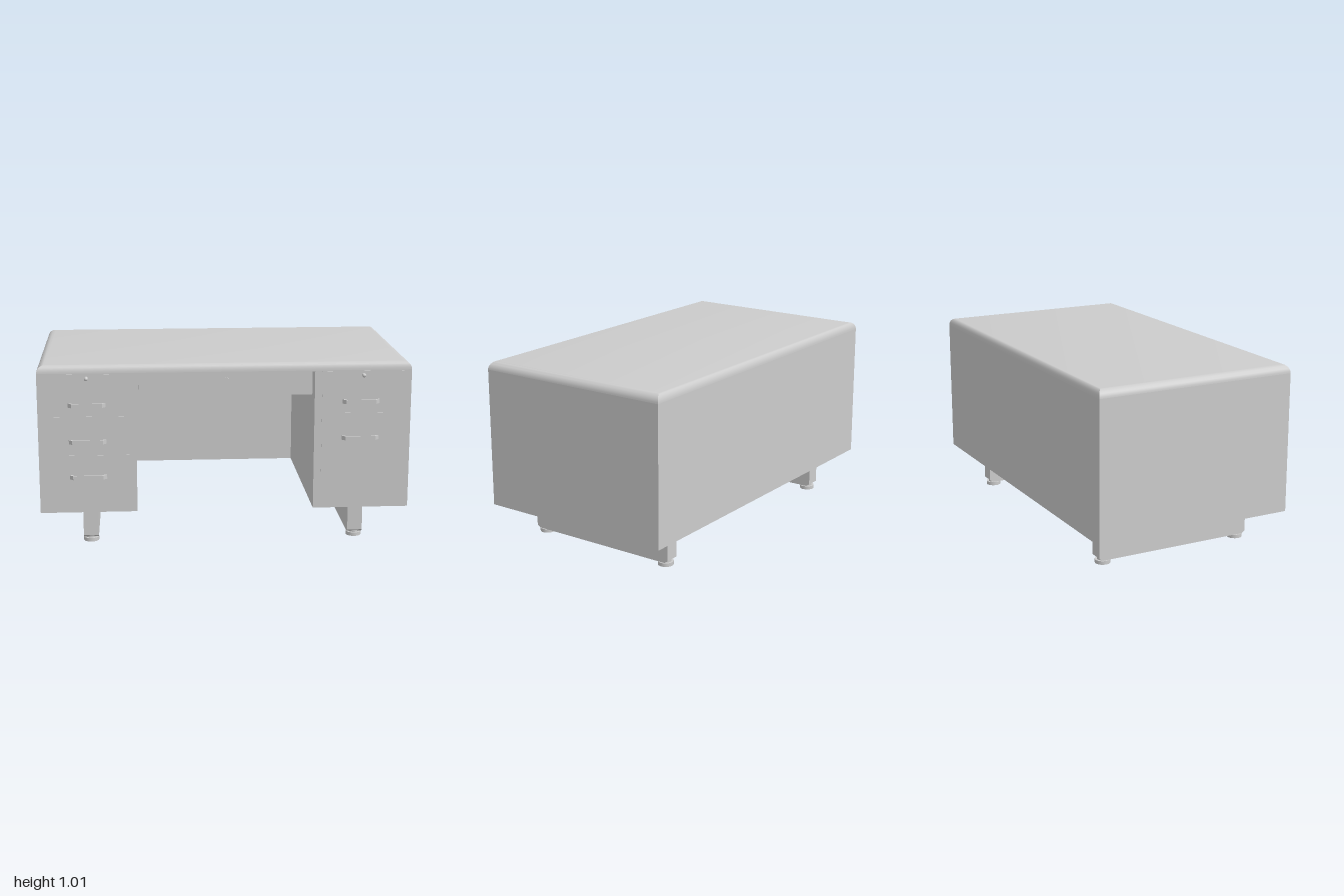
import * as THREE from 'three';
import { toCreasedNormals } from 'three/addons/utils/BufferGeometryUtils.js';

const FRONT = 0.548, BACK = -0.58, BASE = 0.205, EDGE = 0.97, TOP = 1.014;
const material = new THREE.MeshStandardMaterial({ color: 0xcccccc });

function add(parent, name, geometry, x = 0, y = 0, z = 0) {
  const mesh = new THREE.Mesh(geometry, material);
  mesh.name = name;
  mesh.position.set(x, y, z);
  parent.add(mesh);
  return mesh;
}

// Box given by its minimum and maximum corners
function addBox(parent, name, x0, x1, y0, y1, z0, z1) {
  return add(parent, name, new THREE.BoxGeometry(x1 - x0, y1 - y0, z1 - z0),
    (x0 + x1) / 2, (y0 + y1) / 2, (z0 + z1) / 2);
}

function polygon(points) {
  return new THREE.Shape(points.map(([x, y]) => new THREE.Vector2(x, y)));
}

// Desktop: rectangles that shrink along a quarter ellipse, mitred at the corners
function desktopGeometry() {
  const steps = 8, positions = [], rings = [];
  for (let i = 0; i <= steps; i++) {
    const a = (i / steps) * Math.PI / 2;
    const inset = 1 - Math.cos(a), y = EDGE + (TOP - EDGE) * Math.sin(a);
    const x = 1 - 0.045 * inset, f = FRONT - 0.028 * inset, b = BACK + 0.028 * inset;
    rings.push([[x, y, f], [x, y, b], [-x, y, b], [-x, y, f]]);
  }
  const quad = (a, b, c, d) => positions.push(...a, ...b, ...c, ...a, ...c, ...d);
  for (let i = 0; i < steps; i++) {
    for (let j = 0; j < 4; j++) {
      const k = (j + 1) % 4;
      quad(rings[i][j], rings[i][k], rings[i + 1][k], rings[i + 1][j]);
    }
  }
  quad(...rings[steps]);
  const geometry = new THREE.BufferGeometry();
  geometry.setAttribute('position', new THREE.Float32BufferAttribute(positions, 3));
  return toCreasedNormals(geometry, 0.5);
}

// Bent bar handle, drawn from above and extruded downwards
function handleGeometry() {
  const shape = polygon([
    [-0.1, 0], [-0.083, 0], [-0.083, 0.008], [-0.073, 0.02], [0.073, 0.02], [0.083, 0.008],
    [0.083, 0], [0.1, 0], [0.1, 0.008], [0.081, 0.027], [-0.081, 0.027], [-0.1, 0.008],
  ]);
  const geometry = new THREE.ExtrudeGeometry(shape, { depth: 0.022, bevelEnabled: false });
  return geometry.translate(0, 0, -0.011).rotateX(Math.PI / 2);
}

// Ball on a stem, pointing forwards
function knobGeometry() {
  const profile = [[0.009, 0], [0.009, 0.003], [0.005, 0.004], [0.005, 0.014]]
    .map(([r, y]) => new THREE.Vector2(r, y));
  for (let i = 1; i <= 8; i++) {
    const a = -0.9 + (i / 8) * (Math.PI / 2 + 0.9);
    profile.push(new THREE.Vector2(Math.max(0, 0.011 * Math.cos(a)), 0.022 + 0.011 * Math.sin(a)));
  }
  return new THREE.LatheGeometry(profile, 20).rotateX(Math.PI / 2);
}

export function createModel() {
  const desk = new THREE.Group();
  desk.name = 'desk';

  // Two pedestals joined over the kneehole, closed by a back panel
  const carcass = polygon([
    [-1, BASE], [-0.478, BASE], [-0.478, 0.965], [0.478, 0.965],
    [0.478, BASE], [1, BASE], [1, EDGE], [-1, EDGE],
  ]);
  add(desk, 'pedestals', new THREE.ExtrudeGeometry(carcass, { depth: FRONT + 0.47, bevelEnabled: false }), 0, 0, -0.47);
  addBox(desk, 'backPanel', -1, 1, BASE, EDGE, BACK, -0.47);
  add(desk, 'desktop', desktopGeometry());

  // Centre drawer with narrow gaps at its sides, and its half-round pull
  addBox(desk, 'centreDrawer', -0.464, 0.464, 0.84, 0.965, -0.47, FRONT);
  const pull = new THREE.CylinderGeometry(0.02, 0.02, 0.008, 20, 1, false, 0, Math.PI).rotateX(Math.PI / 2);
  add(desk, 'centrePull', pull, 0, 0.92, FRONT + 0.004);

  // Pedestal drawers: [bottom, top, handle height]
  const banks = [
    { x: -0.738, drawers: [[0.74, 0.965, 0.8], [0.527, 0.736, 0.6], [0.315, 0.523, 0.405]] },
    { x: 0.727, drawers: [[0.74, 0.965, 0.8], [0.315, 0.736, 0.6]] },
  ];
  const handle = handleGeometry(), knob = knobGeometry();
  for (const { x, drawers } of banks) {
    const side = Math.sign(x);
    for (const [bottom, top, grip] of drawers) {
      const drawer = new THREE.Group();
      drawer.name = 'drawer';
      addBox(drawer, 'drawerFront', side * 0.738 - 0.22, side * 0.738 + 0.22, bottom, top, FRONT - 0.01, FRONT + 0.002);
      add(drawer, 'drawerHandle', handle, x, grip, FRONT);
      desk.add(drawer);
    }
    add(desk, 'knob', knob, side * 0.738, 0.945, FRONT + 0.002);
  }

  // Runners with chamfered lower corners, each on two round feet
  const runner = polygon([
    [-0.465, BASE], [-0.465, 0.038], [-0.445, 0.024], [0.42, 0.024], [0.44, 0.038], [0.44, BASE],
  ]);
  const runnerGeometry = new THREE.ExtrudeGeometry(runner, { depth: 0.082, bevelEnabled: false })
    .translate(0, 0, -0.041).rotateY(-Math.PI / 2);
  const foot = new THREE.CylinderGeometry(0.042, 0.042, 0.02, 28);
  const collar = new THREE.CylinderGeometry(0.03, 0.03, 0.02, 28);
  for (const x of [-0.735, 0.73]) {
    add(desk, 'runner', runnerGeometry, x);
    for (const z of [-0.425, 0.4]) {
      add(desk, 'foot', foot, x, 0.01, z);
      add(desk, 'footCollar', collar, x, 0.022, z);
    }
  }
  return desk;
}
